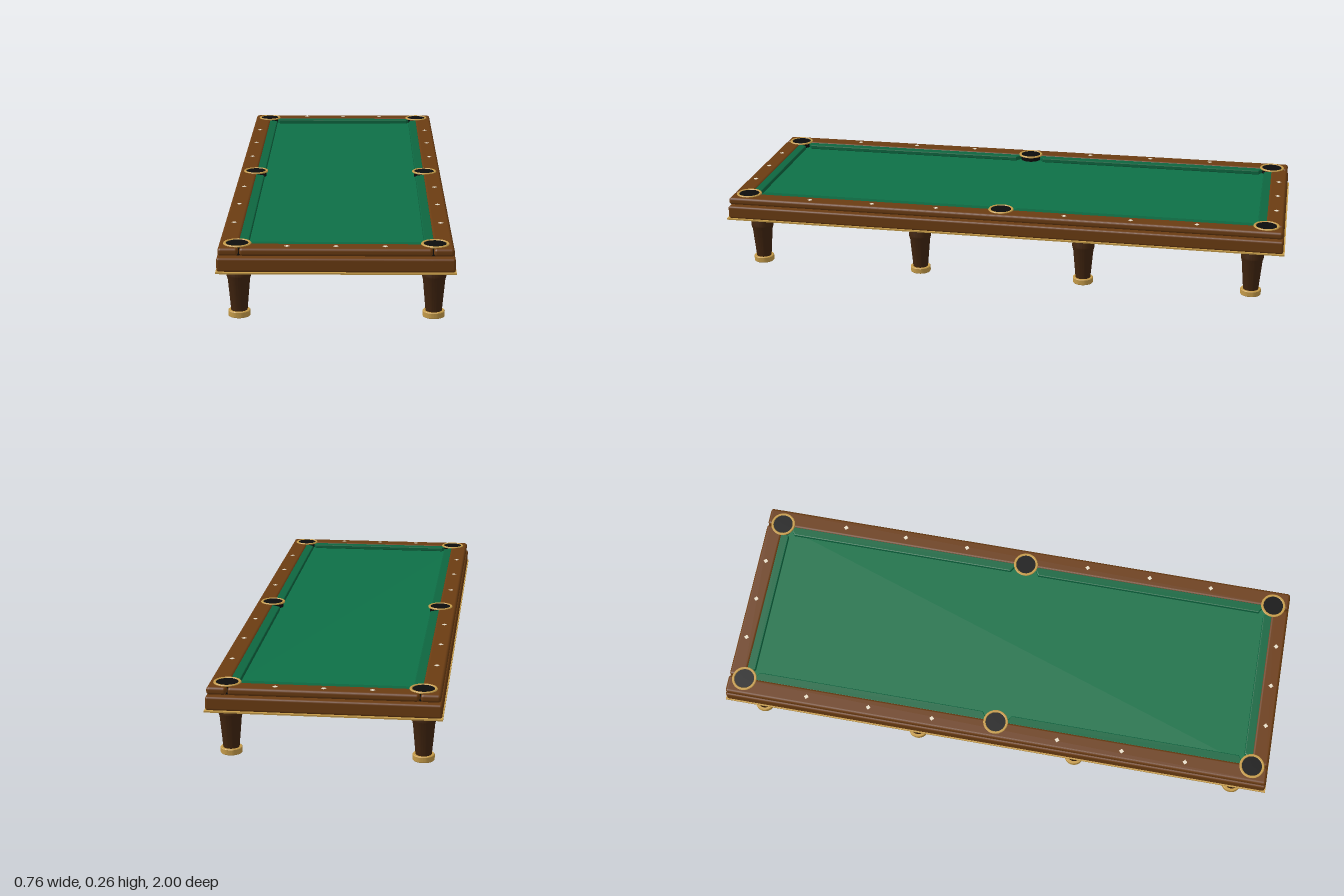
import * as THREE from 'three';
import { RoundedBoxGeometry } from 'three/addons/geometries/RoundedBoxGeometry.js';
import { toCreasedNormals } from 'three/addons/utils/BufferGeometryUtils.js';

const mat = (name, color) => {
  const m = new THREE.MeshStandardMaterial({ color });
  m.name = name;
  return m;
};

export function createModel() {
  const table = new THREE.Group();
  table.name = 'billiardTable';
  const wood = mat('wood', 0x6b3c12);
  const darkWood = mat('darkWood', 0x40240f);
  const brass = mat('brass', 0xc49a48);
  const cloth = mat('cloth', 0x0e7047);
  const cushionCloth = mat('cushionCloth', 0x0d6640);
  const black = mat('black', 0x0c0c0c);
  const ivory = mat('ivory', 0xf0e6d0);

  const add = (name, geometry, material, x, y, z) => {
    const mesh = new THREE.Mesh(geometry, material);
    mesh.name = name;
    mesh.position.set(x, y, z);
    table.add(mesh);
    return mesh;
  };
  const lathe = (points, segments = 28) => toCreasedNormals(
    new THREE.LatheGeometry(points.map(([r, y]) => new THREE.Vector2(r, y)), segments), 0.35);

  // Bed, from the brass base plate up to the playing surface
  add('basePlate', new THREE.BoxGeometry(0.76, 0.005, 2), brass, 0, 0.1755, 0);
  add('body', new RoundedBoxGeometry(0.754, 0.046, 1.99, 3, 0.008), wood, 0, 0.2005, 0);
  add('neck', new THREE.BoxGeometry(0.69, 0.012, 1.93), darkWood, 0, 0.228, 0);
  add('playingSurface', new THREE.BoxGeometry(0.63, 0.008, 1.87), cloth, 0, 0.233, 0);

  // Rails
  const sideRail = new RoundedBoxGeometry(0.065, 0.026, 1.984, 4, 0.01);
  const endRail = new RoundedBoxGeometry(0.61, 0.026, 0.063, 4, 0.01);
  for (const s of [-1, 1]) {
    add('sideRail', sideRail, wood, s * 0.3405, 0.242, 0);
    add('endRail', endRail, wood, 0, 0.242, s * 0.9605);
  }

  // Cushions: bevelled strips with angled ends, nose toward the centre
  const cushionGeometry = (length) => {
    const h = length / 2;
    const plan = new THREE.Shape([[-h, 0], [h, 0], [h - 0.02, 0.032], [-h + 0.02, 0.032]]
      .map(([x, y]) => new THREE.Vector2(x, y)));
    return new THREE.ExtrudeGeometry(plan, {
      depth: 0.01, bevelSize: 0.003, bevelThickness: 0.003, bevelOffset: -0.003, bevelSegments: 2,
    }).rotateX(-Math.PI / 2);
  };
  const endCushion = cushionGeometry(0.58);
  const sideCushion = cushionGeometry(0.87);
  for (const s of [-1, 1]) {
    const end = add('endCushion', endCushion, cushionCloth, 0, 0.239, s * 0.934);
    end.rotation.y = s > 0 ? 0 : Math.PI;
    for (const t of [-1, 1]) {
      const side = add('sideCushion', sideCushion, cushionCloth, s * 0.312, 0.239, t * 0.468);
      side.rotation.y = s * Math.PI / 2;
    }
  }

  // Pockets with brass rims
  const pocket = new THREE.CylinderGeometry(0.038, 0.038, 0.03, 28);
  const rim = lathe([[0.036, 0], [0.045, 0], [0.045, 0.003], [0.043, 0.005], [0.038, 0.005], [0.036, 0.003], [0.036, 0]]);
  for (const x of [-0.314, 0.314]) {
    for (const z of [-0.933, 0, 0.933]) {
      add('pocket', pocket, black, x, 0.2415, z);
      add('pocketRim', rim, brass, x, 0.2535, z);
    }
  }

  // Diamond sights inlaid in the rails
  const sight = new THREE.CylinderGeometry(0.009, 0.009, 0.002, 4);
  for (const s of [-1, 1]) {
    for (const z of [-0.695, -0.465, -0.23, 0.23, 0.465, 0.695]) {
      add('sight', sight, ivory, s * 0.342, 0.2552, z);
    }
    for (const x of [-0.155, 0, 0.155]) add('sight', sight, ivory, x, 0.2552, s * 0.963);
  }

  // Eight turned legs on brass feet
  const leg = lathe([[0, 0.018], [0.0265, 0.018], [0.036, 0.124], [0.04, 0.138], [0.04, 0.144], [0.035, 0.164], [0.034, 0.174]]);
  const foot = lathe([[0, 0], [0.035, 0], [0.036, 0.002], [0.036, 0.018], [0.034, 0.02], [0, 0.02]]);
  for (const x of [-0.314, 0.314]) {
    for (const z of [-0.89, -0.297, 0.297, 0.89]) {
      add('leg', leg, darkWood, x, 0, z);
      add('foot', foot, brass, x, 0, z);
    }
  }
  return table;
}
